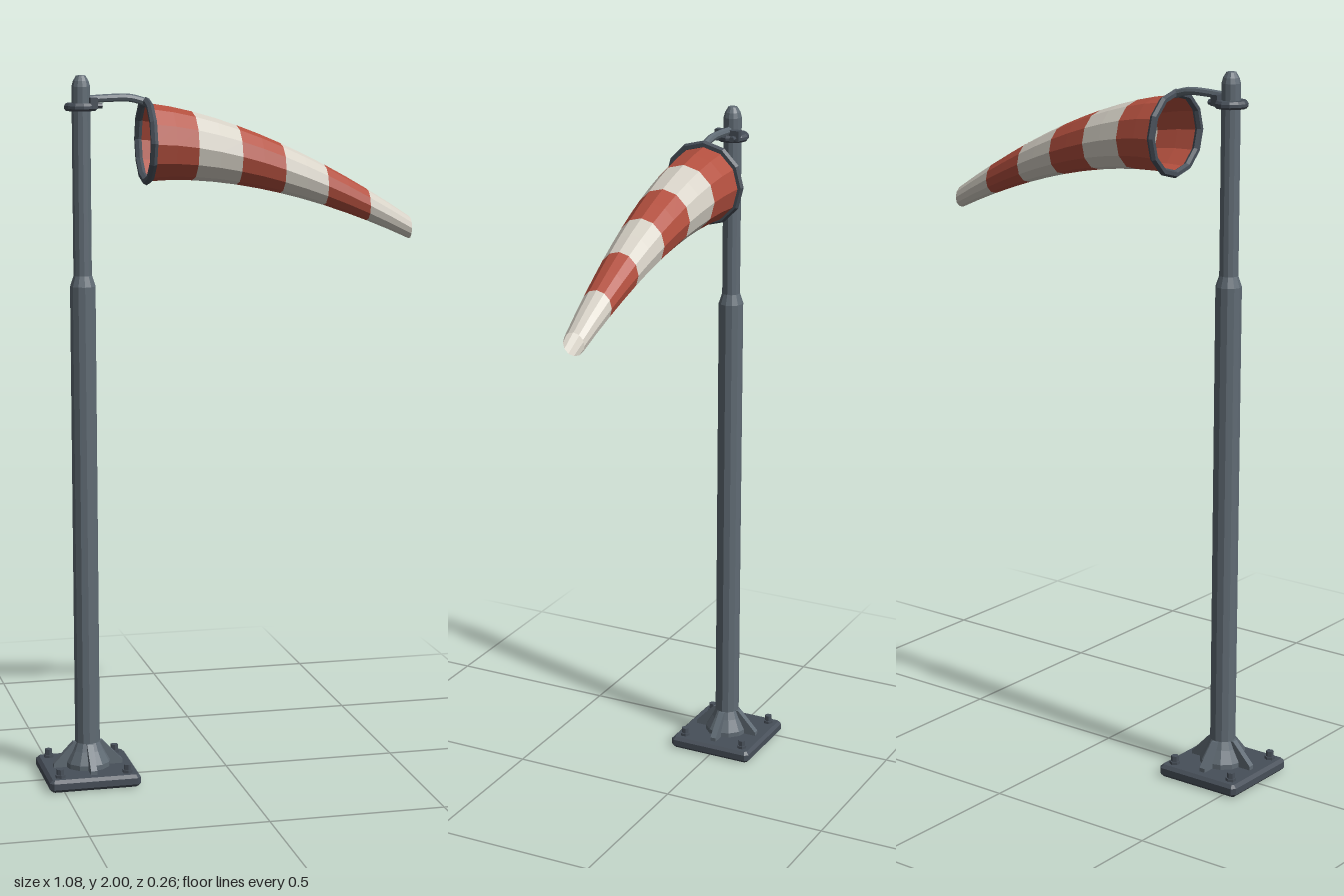
import * as THREE from 'three';

const mat = (name, color, extra = {}) =>
  Object.assign(new THREE.MeshStandardMaterial({ color, flatShading: true, ...extra }), { name });

export function createModel() {
  const steel = mat('steel', 0x606b74);
  const darkSteel = mat('dark steel', 0x474f59);
  const red = mat('red fabric', 0xb4503f, { side: THREE.DoubleSide });
  const white = mat('white fabric', 0xd6d1c6, { side: THREE.DoubleSide });

  const model = new THREE.Group();
  model.name = 'windsock';
  const mast = new THREE.Group();
  mast.name = 'mast';
  mast.position.x = -0.41;
  model.add(mast);

  const add = (parent, name, geometry, material, x = 0, y = 0, z = 0) => {
    const mesh = new THREE.Mesh(geometry, material);
    mesh.name = name;
    mesh.position.set(x, y, z);
    parent.add(mesh);
    return mesh;
  };
  const lathe = (points, sides) =>
    new THREE.LatheGeometry(points.map(([r, y]) => new THREE.Vector2(r, y)), sides);

  // Bevelled square base plate
  const h = 0.122, c = 0.005;
  const square = new THREE.Shape([
    [-h + c, -h], [h - c, -h], [h, -h + c], [h, h - c],
    [h - c, h], [-h + c, h], [-h, h - c], [-h, -h + c],
  ].map(([x, y]) => new THREE.Vector2(x, y)));
  const plate = new THREE.ExtrudeGeometry(square, {
    depth: 0.018, bevelThickness: 0.009, bevelSize: 0.009, bevelSegments: 1,
  });
  plate.rotateX(-Math.PI / 2);
  add(mast, 'basePlate', plate, darkSteel, 0, 0.009, 0);

  // Anchor bolts
  for (const x of [-0.097, 0.097]) for (const z of [-0.097, 0.097]) {
    add(mast, 'boltWasher', new THREE.CylinderGeometry(0.015, 0.015, 0.008, 6), darkSteel, x, 0.04, z);
    add(mast, 'anchorBolt', new THREE.CylinderGeometry(0.011, 0.011, 0.02, 6), darkSteel, x, 0.05, z);
  }

  // Flared foot and its four gussets
  add(mast, 'foot', lathe([[0.065, 0.034], [0.065, 0.05], [0.046, 0.085], [0.036, 0.108]], 12), steel);
  const fin = new THREE.Shape([
    [0.02, 0.034], [0.1, 0.034], [0.1, 0.047], [0.042, 0.108], [0.02, 0.108],
  ].map(([x, y]) => new THREE.Vector2(x, y)));
  for (let i = 0; i < 4; i++) {
    const g = new THREE.ExtrudeGeometry(fin, { depth: 0.018, bevelEnabled: false });
    g.translate(0, 0, -0.009);
    add(mast, 'gusset', g, steel).rotation.y = i * Math.PI / 2;
  }

  // Stepped pole with a domed cap
  add(mast, 'pole', lathe([
    [0.036, 0.034], [0.036, 1.42], [0.026, 1.45], [0.026, 1.97], [0.022, 1.985], [0.013, 2], [0, 2],
  ], 12), steel);

  // Swivel clamp with its bracket and bolts
  add(mast, 'clampCollar', lathe([
    [0.02, 1.904], [0.042, 1.904], [0.047, 1.91], [0.047, 1.918], [0.042, 1.925], [0.02, 1.925],
  ], 12), darkSteel);
  add(mast, 'clampBracket', new THREE.BoxGeometry(0.02, 0.03, 0.075), darkSteel, 0.03, 1.925, 0);
  for (const z of [-0.023, 0.023]) {
    const bolt = add(mast, 'clampBolt', new THREE.CylinderGeometry(0.008, 0.008, 0.02, 6), darkSteel, 0.045, 1.918, z);
    bolt.rotation.z = Math.PI / 2;
  }

  // Bent arm
  const path = new THREE.CatmullRomCurve3([
    [-0.385, 1.935], [-0.33, 1.938], [-0.275, 1.938], [-0.245, 1.931], [-0.225, 1.924],
  ].map(([x, y]) => new THREE.Vector3(x, y, 0)));
  add(model, 'arm', new THREE.TubeGeometry(path, 10, 0.011, 8), steel);

  // Mouth hoop
  const hoop = new THREE.TorusGeometry(0.111, 0.011, 6, 12);
  hoop.rotateY(Math.PI / 2);
  add(model, 'hoop', hoop, darkSteel, -0.228, 1.818, 0);

  // Drooping, tapered sock: six striped bands with upright cross-sections
  const sides = 12, bands = 6, steps = 2;
  const ringPoint = (t, i) => {
    const a = (i / sides) * Math.PI * 2;
    const r = 0.108 - 0.076 * t;
    return [
      -0.225 + 0.762 * t,
      1.815 - 0.253 * Math.pow(t, 1.7) + Math.cos(a) * r,
      Math.sin(a) * r,
    ];
  };
  for (let b = 0; b < bands; b++) {
    const positions = [], index = [];
    for (let s = 0; s <= steps; s++)
      for (let i = 0; i <= sides; i++) positions.push(...ringPoint((b + s / steps) / bands, i));
    for (let s = 0; s < steps; s++)
      for (let i = 0; i < sides; i++) {
        const p = s * (sides + 1) + i, q = p + sides + 1;
        index.push(p, p + 1, q, p + 1, q + 1, q);
      }
    const g = new THREE.BufferGeometry();
    g.setAttribute('position', new THREE.Float32BufferAttribute(positions, 3));
    g.setIndex(index);
    g.computeVertexNormals();
    add(model, b % 2 ? 'whiteBand' : 'redBand', g, b % 2 ? white : red);
  }
  return model;
}
